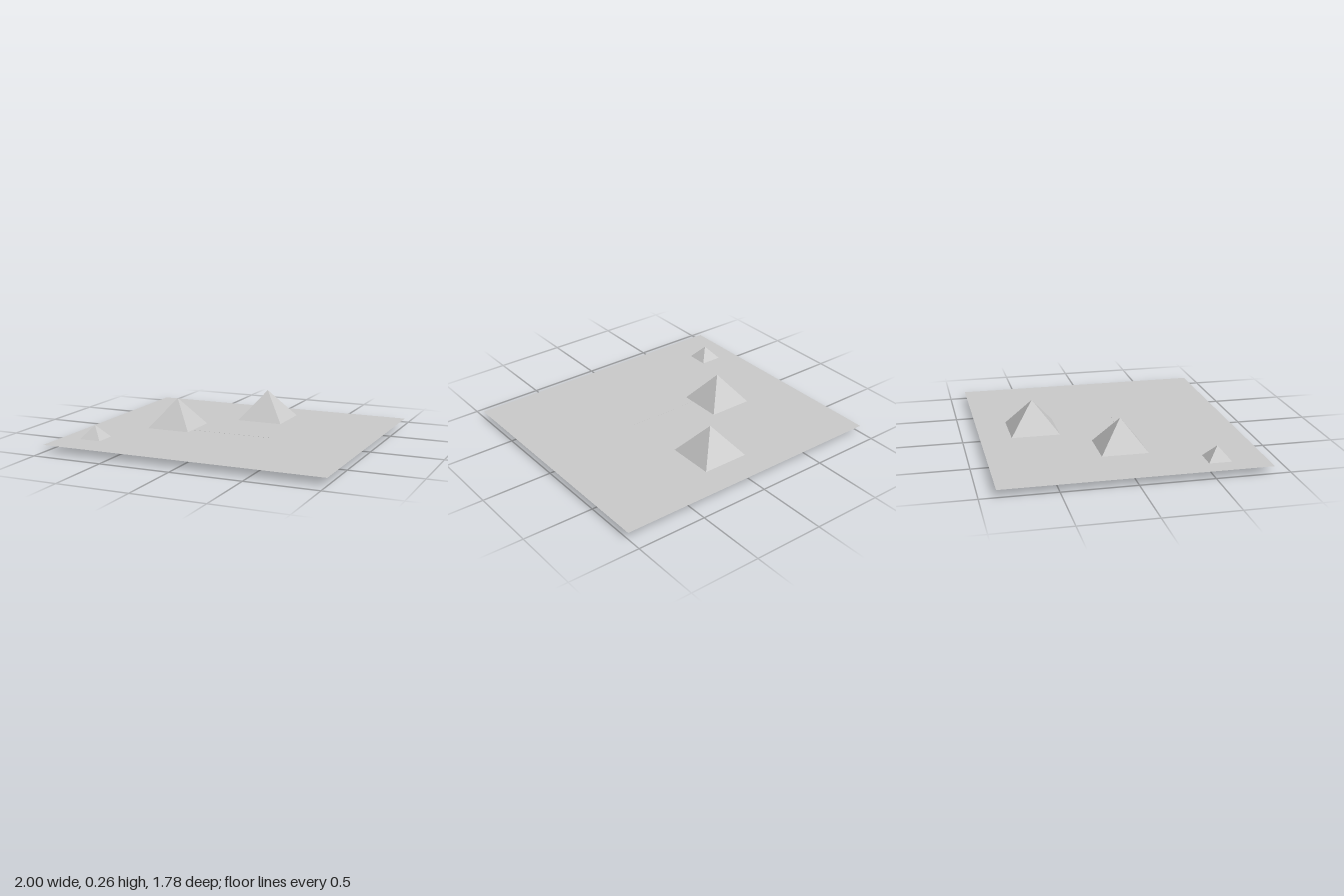
import * as THREE from 'three';

export function createModel() {
  const model = new THREE.Group();
  model.name = 'pyramidPlateau';
  const stone = new THREE.MeshStandardMaterial({ color: 0xcccccc, side: THREE.DoubleSide, flatShading: true });
  stone.name = 'paleStone';
  const GROUND = 0.05;

  const add = (name, geometry, parent = model) => {
    const mesh = new THREE.Mesh(geometry, stone);
    mesh.name = name;
    parent.add(mesh);
    return mesh;
  };
  const group = (name) => {
    const g = new THREE.Group();
    g.name = name;
    model.add(g);
    return g;
  };
  // Box given by its low and high corners
  const block = (name, lo, hi, parent) => {
    const size = hi.map((v, i) => v - lo[i]);
    add(name, new THREE.BoxGeometry(...size), parent)
      .position.set(...hi.map((v, i) => (v + lo[i]) / 2));
  };
  // Square passage between two points
  const passage = (name, from, to, width, parent) => {
    const a = new THREE.Vector3(...from), b = new THREE.Vector3(...to);
    const mesh = add(name, new THREE.BoxGeometry(width, width, a.distanceTo(b)), parent);
    mesh.position.copy(a).add(b).multiplyScalar(0.5);
    mesh.lookAt(b);
  };

  // Ground sheet
  add('ground', new THREE.PlaneGeometry(2, 1.78).rotateX(-Math.PI / 2)).position.y = GROUND;

  // Three open-based pyramids: centre x, centre z, half side, apex height
  const pyramids = [
    ['largePyramid', 0.052, -0.507, 0.168, 0.26],
    ['middlePyramid', -0.438, 0.009, 0.158, 0.255],
    ['smallPyramid', -0.787, 0.573, 0.077, 0.14],
  ];
  for (const [name, x, z, half, apex] of pyramids) {
    const height = apex - GROUND;
    const cone = new THREE.ConeGeometry(half * Math.SQRT2, height, 4, 1, true).rotateY(Math.PI / 4);
    add(name, cone).position.set(x, GROUND + height / 2, z);
  }

  // Narrow causeway running from the middle pyramid
  block('causeway', [-0.28, GROUND - 0.0003, 0.086], [0.315, GROUND + 0.0006, 0.09]);

  // Sloping passage and chamber below the large pyramid
  const deep = group('descendingPassage');
  passage('slope', [0.056, 0.049, -0.605], [0.056, 0.005, -0.512], 0.002, deep);
  block('chamber', [0.04, 0, -0.515], [0.06, 0.006, -0.49], deep);

  // Stepped shaft under the causeway
  const shaft = group('steppedShaft');
  passage('upperShaft', [0.207, 0.049, 0.088], [0.207, 0.036, 0.088], 0.005, shaft);
  block('upperRoom', [0.205, 0.034, 0.085], [0.216, 0.038, 0.091], shaft);
  passage('lowerShaft', [0.214, 0.036, 0.088], [0.214, 0.012, 0.088], 0.004, shaft);
  block('middleRoom', [0.212, 0.012, 0.085], [0.221, 0.017, 0.092], shaft);
  passage('lastShaft', [0.22, 0.014, 0.09], [0.22, 0.006, 0.09], 0.004, shaft);
  block('lowestRoom', [0.214, 0.003, 0.085], [0.226, 0.008, 0.097], shaft);

  // Eastern chamber with its entrance slope and vent
  const vault = group('easternVault');
  passage('slope', [0.582, 0.048, 0.137], [0.672, 0.014, 0.145], 0.004, vault);
  block('chamber', [0.67, 0.01, 0.138], [0.752, 0.024, 0.182], vault);
  passage('vent', [0.75, 0.02, 0.145], [0.75, 0.042, 0.14], 0.003, vault);

  return model;
}
